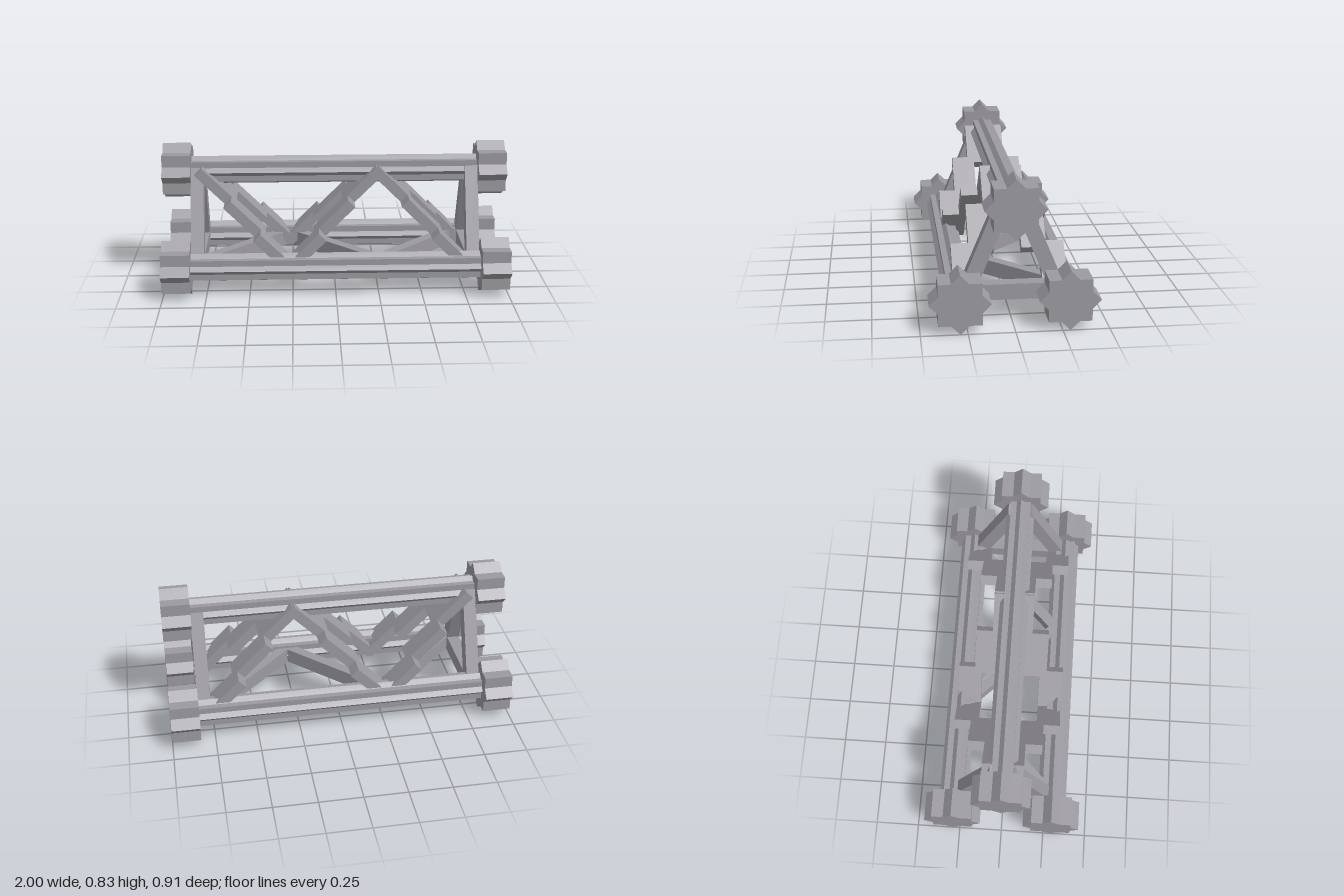
import * as THREE from 'three';

export function createModel() {
  const group = new THREE.Group();
  group.name = 'triangularTruss';
  const steel = new THREE.MeshStandardMaterial({ color: 0x9c9aa1 });
  steel.name = 'steelGrey';

  function add(name, geometry, x, y, z, rx = 0, ry = 0, rz = 0) {
    const mesh = new THREE.Mesh(geometry, steel);
    mesh.name = name;
    mesh.position.set(x, y, z);
    mesh.rotation.set(rx, ry, rz);
    group.add(mesh);
  }

  // Eight-pointed star prism (two crossed squares) running along x
  function starPrism(radius, length) {
    const points = [];
    for (let i = 0; i < 16; i++) {
      const r = i % 2 ? radius * 0.7654 : radius;
      const a = (i * Math.PI) / 8;
      points.push(new THREE.Vector2(r * Math.cos(a), r * Math.sin(a)));
    }
    const geometry = new THREE.ExtrudeGeometry(new THREE.Shape(points), { depth: length, bevelEnabled: false });
    return geometry.translate(0, 0, -length / 2).rotateY(Math.PI / 2);
  }

  // Three rails with a larger connector at each end
  const railGeometry = starPrism(0.083, 1.68);
  const capGeometry = starPrism(0.164, 0.164);
  for (const [y, z] of [[0.667, 0], [0.164, 0.29], [0.164, -0.29]]) {
    add('rail', railGeometry, 0, y, z);
    for (const s of [-1, 1]) add('endConnector', capGeometry, s * 0.918, y, z);
  }

  // End frames: two leaning posts and a bottom tie
  const post = new THREE.BoxGeometry(0.075, 0.58, 0.083);
  const tie = new THREE.BoxGeometry(0.075, 0.088, 0.58);
  for (const x of [-0.8, 0.8]) {
    for (const s of [-1, 1]) add('endPost', post, x, 0.415, s * 0.145, (-s * Math.PI) / 8);
    add('endTie', tie, x, 0.165, 0);
  }

  // Zigzag bracing: [centre x, direction] of each diagonal
  const diagonals = [[-0.525, 1], [-0.005, -1], [0.505, 1]];
  const segment = new THREE.BoxGeometry(0.06, 0.28, 0.138);
  const bottomBrace = new THREE.BoxGeometry(0.06, 0.088, 0.76);
  for (const [x, dir] of diagonals) {
    // Side diagonals are stepped outwards in three overlapping pieces
    for (const s of [-1, 1]) {
      for (const k of [-1, 0, 1]) {
        add('sideBrace', segment, x - dir * k * 0.17, 0.415 + k * 0.17, s * (0.145 - k * 0.097),
          0, 0, (dir * Math.PI) / 4);
      }
    }
    add('bottomBrace', bottomBrace, x, 0.165, 0, 0, (-dir * Math.PI) / 4);
  }
  return group;
}
